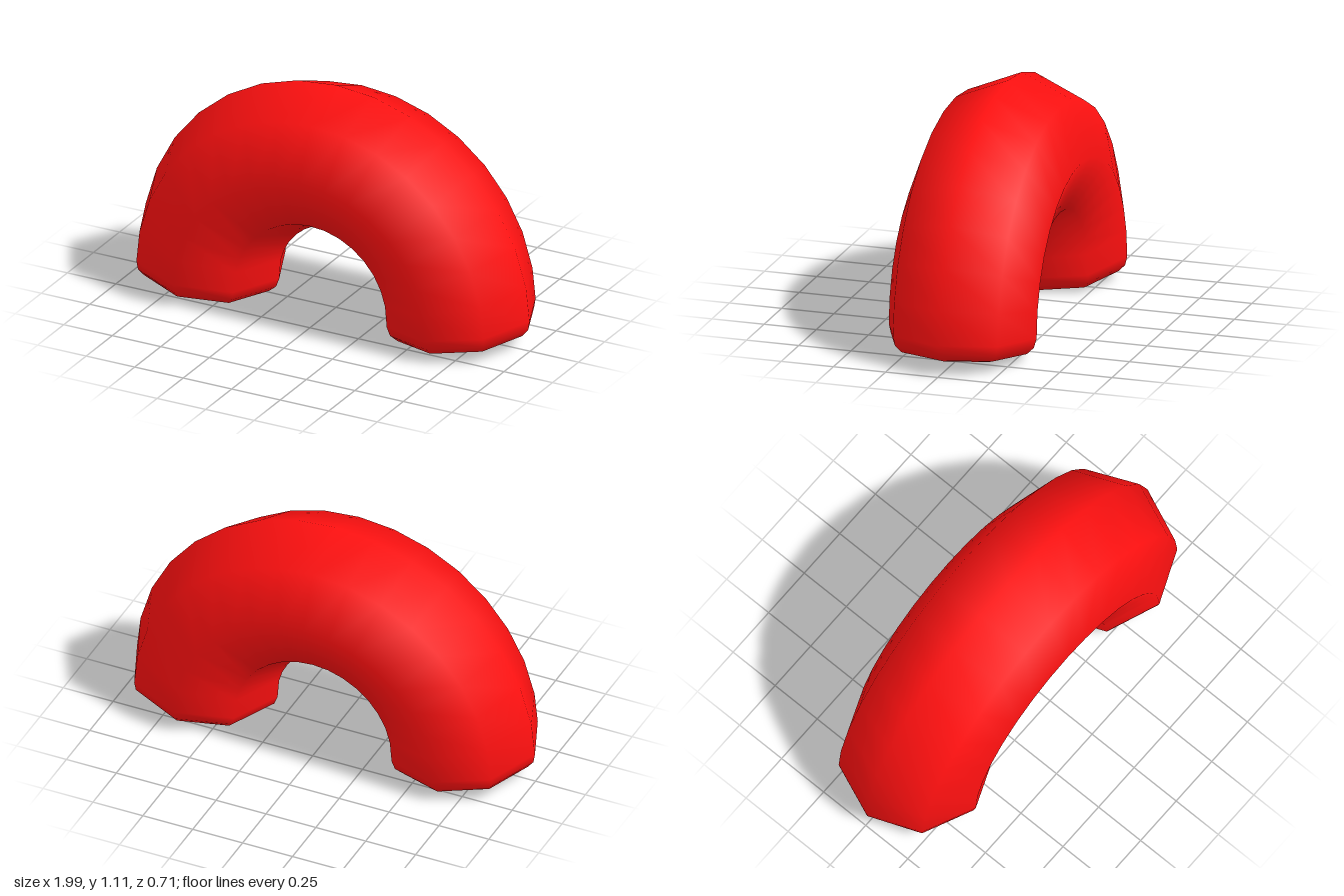
import * as THREE from 'three';

const SIDES = 8, STEPS = 16;          // octagonal tube, half-circle sweep
const R = 0.645, TUBE = 0.354, BEVEL = 0.088, CENTRE_Y = 0.113;
const HALF_STEP = Math.PI / STEPS / 2;

// One octagonal ring: angle t along the arch (0 = top), tilt of its plane,
// radius, and shift outwards along the sweep direction
function ring(t, tilt = 0, radius = TUBE, shift = 0) {
  const a = t + tilt;
  const out = new THREE.Vector3(Math.sin(a), Math.cos(a), 0);
  const along = new THREE.Vector3(Math.cos(a), -Math.sin(a), 0);
  const centre = new THREE.Vector3(R * Math.sin(t), CENTRE_Y + R * Math.cos(t), 0).addScaledVector(along, shift);
  return Array.from({ length: SIDES }, (_, i) => {
    const b = (i / SIDES) * Math.PI * 2;
    const p = centre.clone().addScaledVector(out, radius * Math.cos(b));
    p.z += radius * Math.sin(b);
    return p;
  });
}

// Rounded rim at one end (side = -1 or 1), ordered from the arch outwards
function rim(side) {
  return [0, 1, 2, 3].map((k) => {
    const a = (k / 3) * Math.PI / 2;
    return ring(side * Math.PI / 2, -side * HALF_STEP,
      TUBE - BEVEL + BEVEL * Math.cos(a), side * BEVEL * Math.sin(a));
  });
}

function build(points, index) {
  const geometry = new THREE.BufferGeometry().setFromPoints(points);
  geometry.setIndex(index);
  geometry.computeVertexNormals();
  return geometry;
}

export function createModel() {
  const group = new THREE.Group();
  group.name = 'archedTube';
  const material = new THREE.MeshStandardMaterial({ color: 0xff1010 });
  const add = (name, geometry) => {
    const mesh = new THREE.Mesh(geometry, material);
    mesh.name = name;
    group.add(mesh);
  };

  // Arch with both rounded rims
  const rings = rim(-1).reverse();
  for (let j = 1; j < STEPS; j++) rings.push(ring(-Math.PI / 2 + (j / STEPS) * Math.PI));
  rings.push(...rim(1));
  const index = [];
  for (let j = 0; j < rings.length - 1; j++) {
    for (let i = 0; i < SIDES; i++) {
      const a = j * SIDES + i, b = j * SIDES + (i + 1) % SIDES;
      index.push(a, b, a + SIDES, b, b + SIDES, a + SIDES);
    }
  }
  add('arch', build(rings.flat(), index));

  // Flat octagonal end faces
  const fan = [];
  for (let i = 1; i < SIDES - 1; i++) fan.push(0, i, i + 1);
  add('leftEnd', build(rings[rings.length - 1], fan));
  add('rightEnd', build([...rings[0]].reverse(), fan));
  return group;
}
